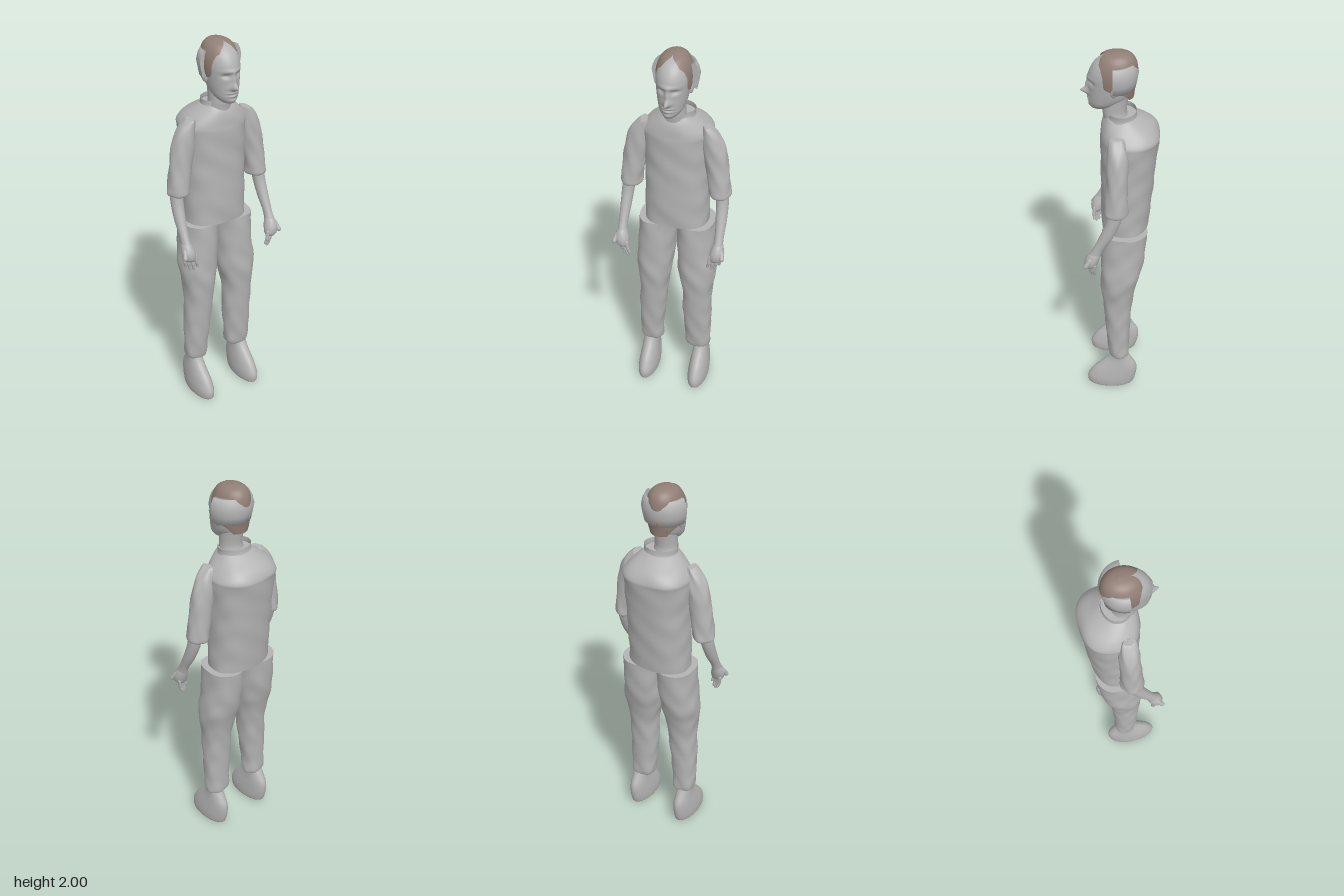
import * as THREE from 'three';

const grey = new THREE.MeshStandardMaterial({ color: 0xb4b4b4, side: THREE.DoubleSide });
grey.name = 'grey';
const brown = new THREE.MeshStandardMaterial({ color: 0x917f76, side: THREE.DoubleSide });
brown.name = 'hair brown';

// Smooth loft through oval sections [y, centreX, centreZ, radiusX, radiusZ, frontGapAngle], bottom to top
function loft(name, rows, o = {}) {
  const { mat = grey, seg = 40, sub = 5, power = 2, open = false, caps = true, move } = o;
  const pos = [], idx = [], v = new THREE.Vector3();
  const n = (rows.length - 1) * sub;
  const at = (t, k) => {
    const i = Math.min(Math.floor(t), rows.length - 2), f = t - i;
    const p = (j) => rows[Math.max(0, Math.min(rows.length - 1, j))][k] ?? 0;
    const a = p(i - 1), b = p(i), c = p(i + 1), d = p(i + 2);
    const m0 = (c - a) / 2, m1 = (d - b) / 2;
    return b + f * (m0 + f * (3 * (c - b) - 2 * m0 - m1 + f * (2 * (b - c) + m0 + m1)));
  };
  const round = (c) => Math.sign(c) * Math.abs(c) ** (2 / power);
  const ring = (t) => {
    const [y, cx, cz, rx, rz, gap] = [0, 1, 2, 3, 4, 5].map((k) => at(t, k));
    for (let j = 0; j < seg; j++) {
      const a = open ? gap + (2 * Math.PI - 2 * gap) * j / (seg - 1) : 2 * Math.PI * j / seg;
      v.set(cx + rx * round(Math.sin(a)), y, cz + rz * round(Math.cos(a)));
      if (move) move(v, a);
      pos.push(v.x, v.y, v.z);
    }
  };
  for (let i = 0; i <= n; i++) ring(i / sub);
  for (let i = 0; i < n; i++) for (let j = 0; j < (open ? seg - 1 : seg); j++) {
    const k = (j + 1) % seg, a = i * seg + j, b = i * seg + k;
    idx.push(a, b, b + seg, a, b + seg, a + seg);
  }
  // flat end caps with their own corners, so the rims stay sharp
  if (caps && !open) for (const end of [0, rows.length - 1]) {
    const s = pos.length / 3;
    ring(end);
    pos.push(rows[end][1], rows[end][0], rows[end][2]);
    for (let j = 0; j < seg; j++) {
      const k = (j + 1) % seg;
      end ? idx.push(s + j, s + k, s + seg) : idx.push(s + k, s + j, s + seg);
    }
  }
  const g = new THREE.BufferGeometry();
  g.setAttribute('position', new THREE.Float32BufferAttribute(pos, 3));
  g.setIndex(idx);
  g.computeVertexNormals();
  const m = new THREE.Mesh(g, mat);
  m.name = name;
  return m;
}

// gentle folds in the cloth
const folds = (amount) => (p, a) => {
  const w = amount * (Math.sin(p.y * 47 + 3 * Math.sin(a * 2)) + Math.sin(p.y * 29 + a * 5));
  p.x += w * Math.sin(a);
  p.z += w * Math.cos(a);
};

// nose, eye sockets, brow, lips and chin pressed into the front of the head
const bump = (x, y, sx, sy) => Math.exp(-((x / sx) ** 2) - (y / sy) ** 2);
function face(p) {
  if (p.z < 0.06) return;
  const x = p.x, y = p.y;
  p.z += 0.032 * bump(x, y - 1.79, 0.014, 0.017) + 0.014 * bump(x, y - 1.825, 0.011, 0.03)
    + 0.006 * bump(x, y - 1.785, 0.024, 0.009)
    - 0.013 * (bump(x - 0.034, y - 1.845, 0.02, 0.011) + bump(x + 0.034, y - 1.845, 0.02, 0.011))
    + 0.006 * bump(x, y - 1.868, 0.055, 0.01)
    + 0.008 * bump(x, y - 1.757, 0.026, 0.006) + 0.007 * bump(x, y - 1.742, 0.022, 0.006)
    - 0.006 * bump(x, y - 1.75, 0.028, 0.003) + 0.007 * bump(x, y - 1.718, 0.022, 0.011);
}

function limb(name, from, to, radius) {
  const a = new THREE.Vector3(...from), b = new THREE.Vector3(...to), d = b.clone().sub(a);
  const m = new THREE.Mesh(new THREE.CapsuleGeometry(radius, d.length(), 6, 12), grey);
  m.position.copy(a).add(b).multiplyScalar(0.5);
  m.quaternion.setFromUnitVectors(new THREE.Vector3(0, 1, 0), d.normalize());
  m.name = name;
  return m;
}

function arm(s) {
  const g = new THREE.Group();
  g.name = s > 0 ? 'leftArm' : 'rightArm';
  const side = (rows) => rows.map(([y, x, ...r]) => [y, s * x, ...r]);
  g.add(loft('sleeve', side([
    [1.222, 0.235, 0.015, 0.045, 0.05], [1.235, 0.233, 0.015, 0.057, 0.06], [1.28, 0.229, 0.014, 0.056, 0.058],
    [1.4, 0.212, 0.01, 0.06, 0.053], [1.5, 0.194, 0.009, 0.06, 0.052], [1.56, 0.181, 0.011, 0.046, 0.046],
    [1.6, 0.166, 0.014, 0.027, 0.038], [1.613, 0.16, 0.015, 0.016, 0.032]]), { move: folds(0.0015) }));
  g.add(loft('forearm', side([
    [0.985, 0.256, 0.122, 0.024, 0.032], [1.03, 0.256, 0.1, 0.023, 0.028], [1.1, 0.254, 0.062, 0.028, 0.034],
    [1.18, 0.25, 0.03, 0.032, 0.036], [1.25, 0.244, 0.015, 0.034, 0.038]])));
  g.add(loft('palm', side([
    [0.905, 0.246, 0.145, 0.02, 0.02], [0.92, 0.25, 0.143, 0.034, 0.03], [0.95, 0.254, 0.137, 0.036, 0.036],
    [0.98, 0.256, 0.126, 0.029, 0.034], [1.0, 0.256, 0.116, 0.022, 0.028]])));
  for (let i = 0; i < 4; i++) {
    const x = 0.275 - i * 0.017, z = 0.122 + i * 0.011;
    g.add(limb('finger', [s * x, 0.93, z], [s * (x - 0.006), 0.892 - (i % 3 ? 0.012 : 0), z + 0.003], 0.0095));
    g.add(limb('fingertip', [s * (x - 0.006), 0.888, z + 0.003], [s * (x - 0.013), 0.858 + (i % 3 ? -0.006 : 0.012), z], 0.008));
  }
  g.add(limb('thumb', [s * 0.278, 0.965, 0.145], [s * 0.288, 0.935, 0.165], 0.012));
  return g;
}

function leg(name, rows, footX) {
  const g = new THREE.Group();
  g.name = name;
  g.add(loft('trouserLeg', rows, { power: 2.2, move: folds(0.0015) }));
  g.add(loft('shoe', [
    [0, 0, 0.055, 0.046, 0.112], [0.012, 0, 0.052, 0.052, 0.124], [0.05, 0, 0.046, 0.054, 0.131],
    [0.1, 0, 0.028, 0.05, 0.121], [0.14, 0, 0.012, 0.045, 0.1], [0.18, 0, 0.004, 0.041, 0.068],
    [0.215, 0, 0.003, 0.04, 0.046], [0.24, 0, 0.003, 0.038, 0.042]].map(([y, x, ...r]) => [y, footX, ...r])));
  return g;
}

// half ring standing round the back of the head, closed at both ends
function headband() {
  const g = new THREE.Group();
  g.name = 'headband';
  const outline = [[0.08, 1.825], [0.105, 1.82], [0.113, 1.86], [0.119, 1.895], [0.112, 1.925], [0.1, 1.95], [0.078, 1.95], [0.08, 1.825]]
    .map(([x, y]) => new THREE.Vector2(x, y));
  const band = new THREE.Mesh(new THREE.LatheGeometry(outline, 32, Math.PI / 2, Math.PI), grey);
  band.name = 'band';
  g.add(band);
  for (const s of [1, -1]) {
    const end = new THREE.Mesh(new THREE.ShapeGeometry(new THREE.Shape(outline)), grey);
    end.scale.x = s;
    end.name = 'bandEnd';
    g.add(end);
  }
  g.position.set(0.006, 0, 0.035);
  return g;
}

export function createModel() {
  const model = new THREE.Group();
  model.name = 'standingMan';

  // shirt with open collar
  model.add(loft('shirt', [
    [1.03, 0, -0.022, 0.168, 0.12], [1.15, 0, -0.026, 0.167, 0.128], [1.3, 0, -0.033, 0.168, 0.134],
    [1.42, 0, -0.038, 0.17, 0.139], [1.53, 0, -0.043, 0.176, 0.146], [1.565, 0, -0.045, 0.176, 0.146],
    [1.605, 0, -0.035, 0.148, 0.132], [1.64, 0.003, -0.016, 0.112, 0.104], [1.665, 0.006, -0.004, 0.085, 0.078]],
  { power: 2.25, seg: 56, move: folds(0.0014) }));
  model.add(loft('collar', [
    [1.635, 0.006, -0.005, 0.1, 0.088, 0.35], [1.665, 0.008, -0.004, 0.088, 0.075, 0.5], [1.692, 0.009, -0.004, 0.088, 0.071, 0.75]],
  { open: true }));

  for (const s of [1, -1]) model.add(arm(s));

  // the trouser legs differ a little
  model.add(leg('rightLeg', [
    [0.205, -0.13, 0.004, 0.053, 0.046], [0.225, -0.134, 0.005, 0.062, 0.054], [0.3, -0.136, 0.009, 0.064, 0.059],
    [0.45, -0.127, 0.012, 0.073, 0.068], [0.6, -0.119, 0.012, 0.077, 0.08], [0.7, -0.116, 0.007, 0.09, 0.094],
    [0.78, -0.115, -0.005, 0.099, 0.104], [0.88, -0.106, -0.014, 0.099, 0.113], [1.03, -0.1, -0.022, 0.099, 0.117]], -0.143));
  model.add(leg('leftLeg', [
    [0.205, 0.13, 0.004, 0.058, 0.046], [0.225, 0.128, 0.005, 0.068, 0.054], [0.3, 0.126, 0.009, 0.071, 0.059],
    [0.45, 0.122, 0.012, 0.078, 0.068], [0.6, 0.122, 0.012, 0.08, 0.08], [0.7, 0.118, 0.007, 0.098, 0.094],
    [0.78, 0.114, -0.005, 0.104, 0.104], [0.88, 0.107, -0.014, 0.099, 0.113], [1.03, 0.102, -0.022, 0.1, 0.117]], 0.145));

  // head and neck
  model.add(loft('neck', [
    [1.6, 0, 0.02, 0.066, 0.062], [1.66, 0, 0.028, 0.06, 0.06], [1.7, 0, 0.032, 0.056, 0.06], [1.8, 0, 0.02, 0.058, 0.065]]));
  model.add(loft('head', [
    [1.697, 0, 0.105, 0.016, 0.024], [1.705, 0, 0.1, 0.034, 0.046], [1.73, 0, 0.082, 0.057, 0.072],
    [1.765, 0, 0.06, 0.07, 0.097], [1.81, 0, 0.051, 0.078, 0.106], [1.86, 0, 0.046, 0.083, 0.112],
    [1.9, 0, 0.042, 0.083, 0.11], [1.94, 0, 0.034, 0.075, 0.096], [1.97, 0, 0.026, 0.055, 0.07], [1.986, 0, 0.02, 0.025, 0.034]],
  { seg: 96, sub: 9, move: face }));
  for (const s of [1, -1]) {
    const ear = new THREE.Mesh(new THREE.SphereGeometry(1, 16, 12), grey);
    ear.scale.set(0.01, 0.032, 0.018);
    ear.position.set(s * 0.082, 1.825, 0.03);
    ear.rotation.set(-0.15, s * -0.35, 0);
    ear.name = 'ear';
    model.add(ear);
  }

  // short hair, open over the face
  model.add(loft('hair', [
    [1.765, 0, 0.012, 0.066, 0.074, 2.35], [1.8, 0, 0.018, 0.08, 0.084, 2.0], [1.832, 0, 0.032, 0.086, 0.104, 1.15],
    [1.88, 0, 0.03, 0.09, 0.11, 0.85], [1.92, 0, 0.027, 0.087, 0.107, 0.7], [1.955, 0, 0.022, 0.077, 0.094, 0.55],
    [1.98, 0, 0.02, 0.06, 0.075, 0.3], [1.994, 0, 0.015, 0.035, 0.045, 0], [2, 0, 0.012, 0.001, 0.001, 0]],
  { mat: brown, open: true, seg: 48 }));
  model.add(headband());
  return model;
}
